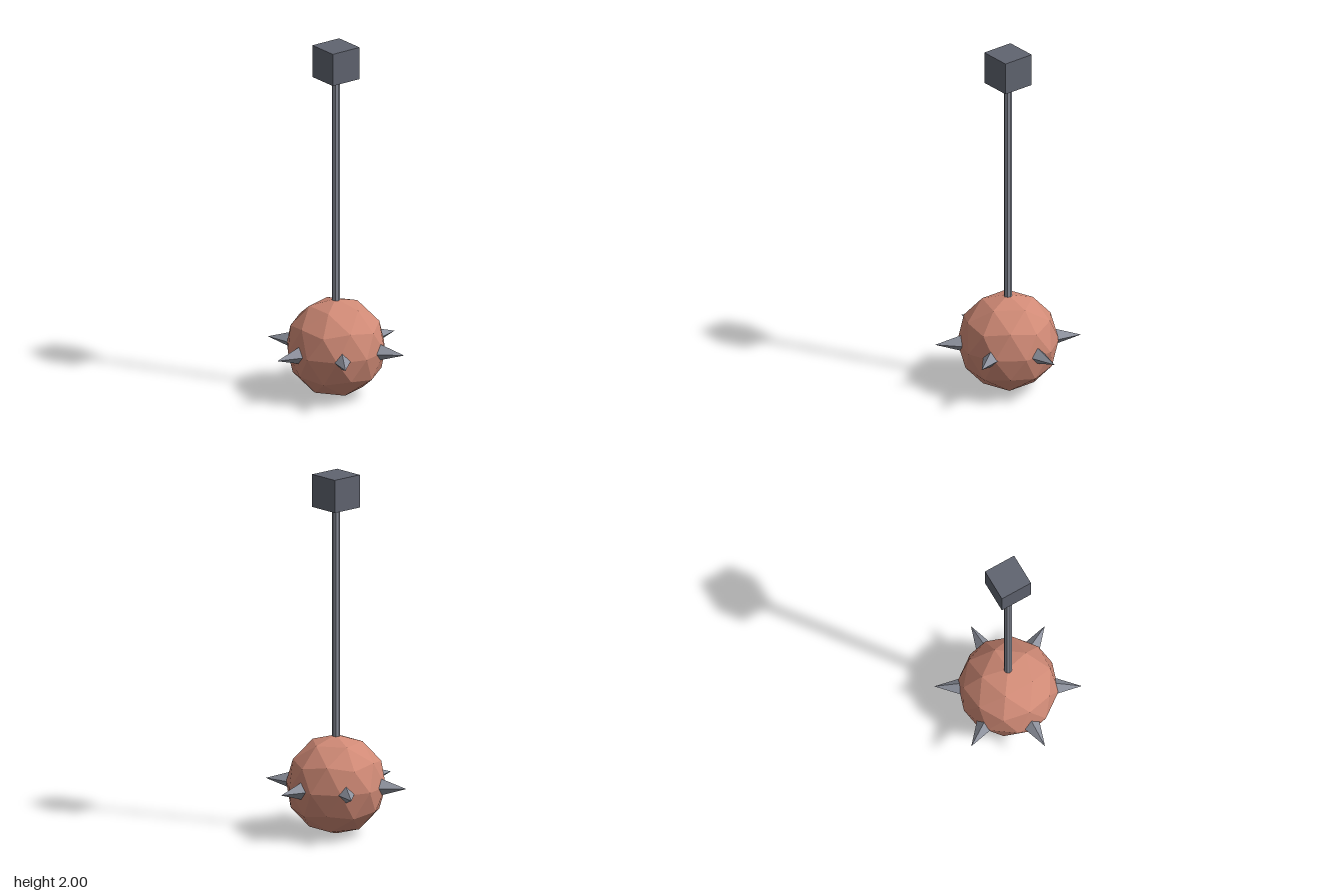
import * as THREE from 'three';

const BALL_R = 0.2755;
const CUBE = 0.182;

const material = (name, color) => {
  const m = new THREE.MeshStandardMaterial({ color });
  m.name = name;
  return m;
};

// Faceted normals for the low-poly look
function faceted(geometry) {
  const g = geometry.index ? geometry.toNonIndexed() : geometry;
  g.computeVertexNormals();
  return g;
}

export function createModel() {
  const model = new THREE.Group();
  model.name = 'spikedBallOnRod';

  const clay = material('clay red', 0xd08a76);
  const steel = material('steel grey', 0x8e929e);
  const iron = material('dark iron', 0x606470);

  const add = (name, geometry, mat, parent = model) => {
    const mesh = new THREE.Mesh(faceted(geometry), mat);
    mesh.name = name;
    parent.add(mesh);
    return mesh;
  };

  // Ball: icosphere turned so that one corner points straight up
  const ball = new THREE.IcosahedronGeometry(BALL_R, 1);
  ball.rotateX(-Math.atan((1 + Math.sqrt(5)) / 2));
  ball.rotateY(Math.PI / 2);
  add('ball', ball, clay).position.y = BALL_R;

  // Six four-sided spikes around the equator
  const spikes = new THREE.Group();
  spikes.name = 'spikes';
  spikes.position.y = 0.278;
  model.add(spikes);
  const length = 0.25, tip = 0.399;
  for (let i = 0; i < 6; i++) {
    const spike = new THREE.ConeGeometry(0.0815, length, 4);
    spike.rotateZ(-Math.PI / 2);
    spike.translate(tip - length / 2, 0, 0);
    spike.rotateY((i * Math.PI) / 3);
    add(`spike${i + 1}`, spike, steel, spikes);
  }

  // Rod from inside the ball up into the cube
  const bottom = BALL_R, top = 2 - CUBE / 2;
  const rod = new THREE.CylinderGeometry(0.0227, 0.0227, top - bottom, 8);
  add('rod', rod, steel).position.y = (bottom + top) / 2;

  // Mounting cube at the top
  add('mountCube', new THREE.BoxGeometry(CUBE, CUBE, CUBE), iron).position.y = 2 - CUBE / 2;

  return model;
}
